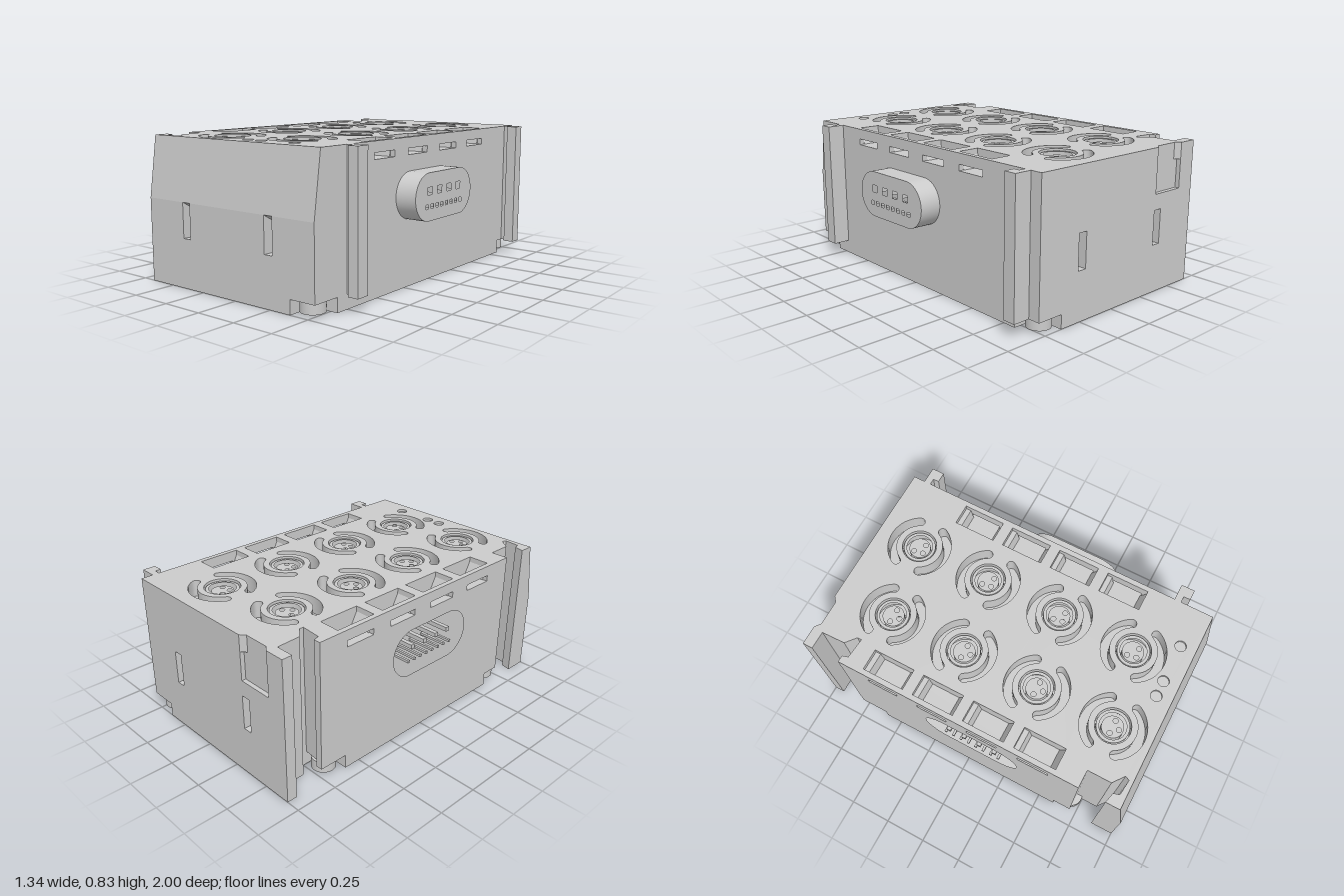
import * as THREE from 'three';
import { toCreasedNormals } from 'three/addons/utils/BufferGeometryUtils.js';

const material = new THREE.MeshStandardMaterial({ color: 0xcccccc });
const path = (pts, P = THREE.Path) => new P(pts.map(([u, v]) => new THREE.Vector2(u, v)));
const rect = (u0, u1, v0, v1) => [[u0, v0], [u1, v0], [u1, v1], [u0, v1]];

function circle(u, v, r) {
  const pts = [];
  for (let i = 0; i < 32; i++) pts.push([u + r * Math.cos(i * Math.PI / 16), v + r * Math.sin(i * Math.PI / 16)]);
  return pts;
}

// Horizontal stadium outline
function stadium(u, v, half, r) {
  const pts = [];
  for (let i = 0; i <= 40; i++) {
    const side = i <= 20 ? 1 : -1;
    const a = -Math.PI / 2 + (i <= 20 ? i : i - 1) * Math.PI / 20;
    pts.push([u + side * (half - r) + r * Math.cos(a), v + r * Math.sin(a)]);
  }
  return pts;
}

// Curved groove with round ends, side +1 or -1 in z
function arcGroove(cx, cz, side) {
  const R = 0.16, w = 0.025, a0 = 0.48, a1 = Math.PI - a0, pts = [];
  const add = (x, z) => pts.push([cx + x, cz + side * z]);
  for (let i = 0; i <= 20; i++) {
    const a = a0 + (a1 - a0) * i / 20;
    add((R + w) * Math.cos(a), (R + w) * Math.sin(a));
  }
  for (let i = 1; i < 8; i++) {
    const b = a1 + i * Math.PI / 8;
    add(R * Math.cos(a1) + w * Math.cos(b), R * Math.sin(a1) + w * Math.sin(b));
  }
  for (let i = 20; i >= 0; i--) {
    const a = a0 + (a1 - a0) * i / 20;
    add((R - w) * Math.cos(a), (R - w) * Math.sin(a));
  }
  for (let i = 1; i < 8; i++) {
    const b = a0 + Math.PI + i * Math.PI / 8;
    add(R * Math.cos(a0) + w * Math.cos(b), R * Math.sin(a0) + w * Math.sin(b));
  }
  return pts;
}

// Extrude an outline from d0 to d1 along an axis: y takes [x,z], z takes [x,y], x takes [z,y]
function prism(axis, outline, d0, d1, holes = []) {
  const map = (pts) => pts.map(([u, v]) => axis === 'y' ? [u, -v] : axis === 'x' ? [-u, v] : [u, v]);
  const shape = path(map(outline), THREE.Shape);
  shape.holes = holes.map((h) => path(map(h)));
  const g = new THREE.ExtrudeGeometry(shape, { depth: d1 - d0, bevelEnabled: false });
  g.translate(0, 0, d0);
  if (axis === 'y') g.rotateX(-Math.PI / 2);
  if (axis === 'x') g.rotateY(Math.PI / 2);
  // Sloped upper front
  const p = g.attributes.position;
  for (let i = 0; i < p.count; i++) {
    p.setZ(i, Math.min(p.getZ(i), 1 - Math.max(0, p.getY(i) - 0.48) / 7));
  }
  return toCreasedNormals(g, 0.5);
}

export function createModel() {
  const group = new THREE.Group();
  const add = (name, geometry) => {
    const m = new THREE.Mesh(geometry, material);
    m.name = name;
    group.add(m);
    return m;
  };

  const L = -0.67, R = 0.545, floorY = 0.735;
  const rearGroove = [[-0.565, -0.94], [-0.56, -0.8], [-0.5, -0.75], [-0.5, -0.725], [-0.62, -0.735], [-0.63, -0.77], [L, -0.77]];
  const frontGroove = [[L, 0.71], [-0.565, 0.71], [-0.565, 0.85], [-0.5, 0.9], [-0.51, 0.925], [-0.6, 0.915], [-0.61, 0.88], [L, 0.865]];
  const backNotch = [[-0.345, -1], [-0.375, -0.975], [-0.525, -0.975], [-0.555, -1]];

  // Base with cut-outs for the feet
  add('base', prism('y', [[L, -0.94], ...rearGroove.slice(0, 4), [-0.5, -0.6], [L, -0.6], [L, 0.6], [-0.5, 0.6], [-0.5, 0.71],
    ...frontGroove.slice(1), [L, 1], [0.385, 1], [0.385, 0.83], [R, 0.83], [R, -0.83], [0.385, -0.83], [0.385, -1], [L, -1]], 0, 0.08));
  for (const s of [1, -1]) {
    for (const [x, z] of [[0.46, 0.915], [-0.585, 0.68]]) {
      add('foot', new THREE.CylinderGeometry(0.067, 0.067, 0.065, 32)).position.set(x, 0.0475, s * z);
    }
  }

  // Core and walls
  add('core', prism('y', [...rearGroove, [L, -0.7], [-0.5, -0.7], [-0.5, 0.69], [L, 0.69],
    ...frontGroove, [L, 0.93], [R, 0.93], [R, -0.94]], 0.08, floorY));
  const slotX = [[-0.395, -0.34], [0.215, 0.27]];
  add('lowerFrontWall', prism('z', [[L, 0.08], [R, 0.08], [R, 0.48], [0.27, 0.48], [0.27, 0.28], [0.215, 0.28], [0.215, 0.48],
    [-0.34, 0.48], [-0.34, 0.28], [-0.395, 0.28], [-0.395, 0.48], [L, 0.48]], 0.93, 1));
  add('upperFrontWall', prism('z', rect(L, R, 0.48, floorY), 0.93, 1));
  add('backWall', prism('z', [[L, 0.08], [R, 0.08], [R, floorY], [-0.345, floorY], [-0.345, 0.57], [-0.555, 0.57], [-0.555, floorY], [L, floorY]],
    -1, -0.94, slotX.map(([a, b]) => rect(a, b, 0.28, 0.48))));
  add('backNotchFloor', prism('z', rect(-0.555, -0.345, 0.57, floorY), -0.975, -0.94));
  // Sloped slot ceilings
  for (const [a, b] of slotX) {
    add('slotCeiling', prism('x', [[1, 0.48], [0.93, 0.48], [0.93, 0.44]], a, b));
  }

  // Top: upper layer with pockets, lower layer with side windows into them
  const sockets = [];
  [-0.65, -0.19, 0.265, 0.725].forEach((z) => sockets.push([-0.285, z, 0]));
  [-0.735, -0.28, 0.18, 0.64].forEach((z) => sockets.push([0.155, z, Math.PI / 5]));
  const lamps = [-0.025, 0.07, 0.3];
  const holes = lamps.map((x) => circle(x, 0.86, 0.032));
  for (const [x, z] of sockets) holes.push(circle(x, z, 0.1), arcGroove(x, z, 1), arcGroove(x, z, -1));

  const starts = [0, 1, 2, 3].map((i) => -0.625 + 0.312 * i);
  const pockets = [];
  const windows = (out, near, far) => starts.flatMap((z) => [[out, z + 0.035], [near, z + 0.035], [near, z], [far, z],
    [far, z + 0.25], [near, z + 0.25], [near, z + 0.22], [out, z + 0.22]]);
  for (const z of starts) pockets.push(rect(-0.64, -0.515, z, z + 0.25), rect(0.39, 0.515, z, z + 0.25));
  const topOutline = (left, right) => [[L, -0.94], ...rearGroove, ...left, ...frontGroove, [L, 1], [R, 1],
    ...right.reverse(), [R, -1], ...backNotch, [L, -1]];
  add('topPlate', prism('y', topOutline([], []), 0.77, 0.83, [...holes, ...pockets]));
  add('windowLayer', prism('y', topOutline(windows(L, -0.64, -0.515), windows(R, 0.515, 0.39)), floorY, 0.77, holes));
  for (const z of starts) {
    for (const x of [-0.64, 0.39]) {
      add('pocketRamp', prism('x', [[z, floorY], [z + 0.045, floorY], [z + 0.03, 0.8], [z, 0.8]], x, x + 0.125));
      add('pocketRamp', prism('x', [[z + 0.25, floorY], [z + 0.215, floorY], [z + 0.25, 0.8]], x, x + 0.125));
    }
  }
  for (const x of lamps) {
    add('indicatorLamp', new THREE.CylinderGeometry(0.032, 0.032, 0.08, 32)).position.set(x, 0.775, 0.86);
  }

  // Round sockets with sleeve and pierced insert
  for (const [x, z, turn] of sockets) {
    add('socketSleeve', prism('y', circle(x, z, 0.092), floorY, 0.82, [circle(x, z, 0.075)]));
    const pins = [0, Math.PI / 2, Math.PI].map((a) =>
      circle(x + 0.038 * Math.cos(a + turn), z + 0.038 * Math.sin(a + turn), 0.014));
    add('socketInsert', prism('y', circle(x, z, 0.062), floorY, 0.805, pins));
  }

  // Oval plug on the left, matching recess with pins on the right
  const contacts = [];
  for (let i = 0; i < 4; i++) contacts.push([0.195 - 0.097 * i, 0.545, 0.021]);
  for (let i = 0; i < 8; i++) contacts.push([0.22 - 0.049 * i, 0.46, 0.012]);
  const squares = (k) => contacts.map(([z, y, h]) => rect(z - h * k, z + h * k, y - h * k, y + h * k));
  add('ovalPlug', prism('x', stadium(0.0475, 0.5125, 0.2875, 0.1325), R, 0.67, squares(1)));
  add('rightWall', prism('x', rect(-0.7, 0.69, 0.08, floorY), L, -0.5, [stadium(0.0475, 0.5125, 0.295, 0.14)]));
  for (const s of squares(0.6)) add('contactPin', prism('x', s, -0.67, -0.5));

  // Hooked rails on the left side
  for (const [z, far] of [[-0.93, -0.855], [0.715, 0.795]]) {
    add('hookRail', prism('y', [[R, z], [0.645, z], [0.645, far], [0.583, far], [0.583, z + 0.04], [R, z + 0.04]], 0.08, 0.83));
  }
  return group;
}
